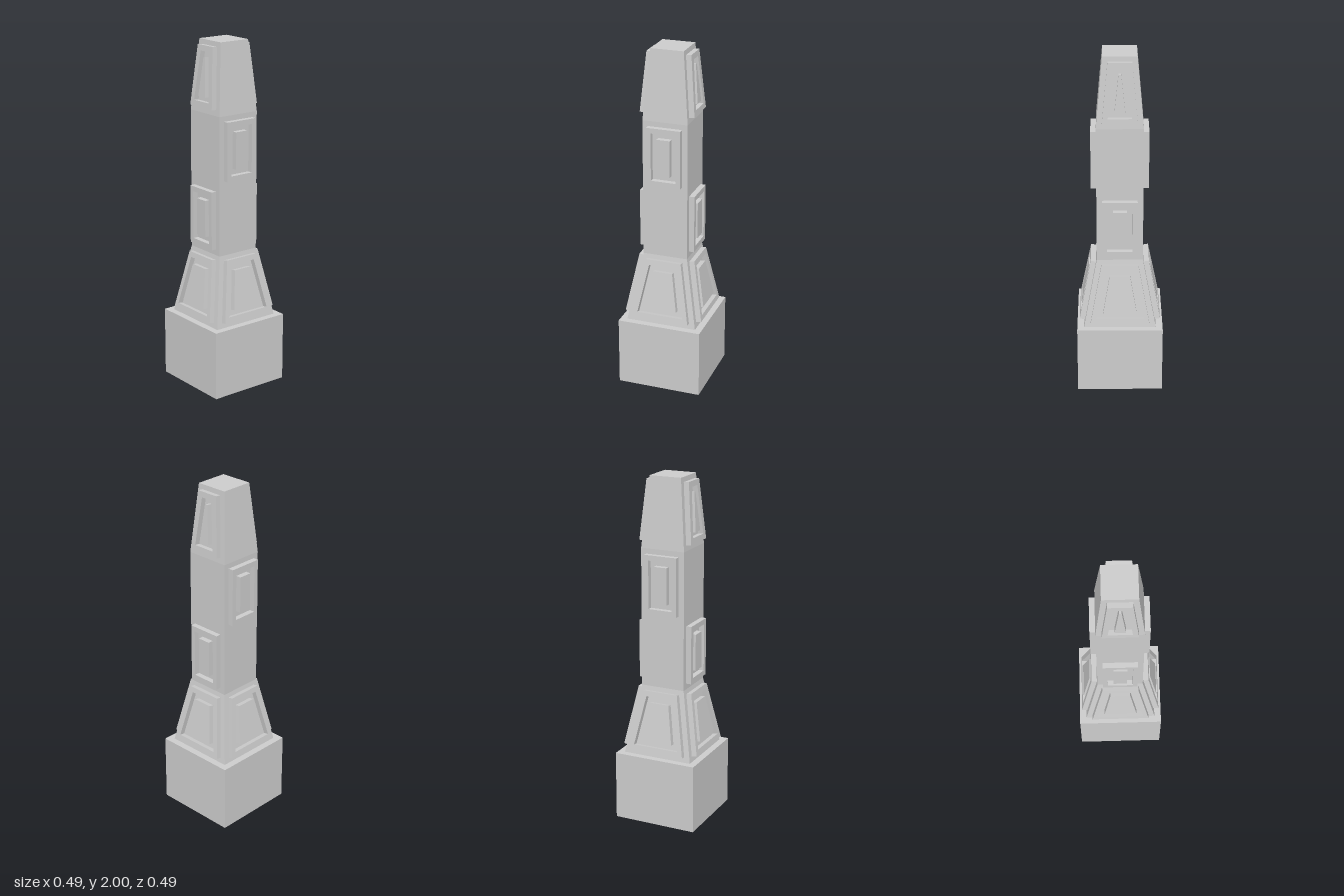
import * as THREE from 'three';

const material = new THREE.MeshStandardMaterial({ color: 0xcccccc, flatShading: true });
const DEPTH = 0.031;

// Shaft sections: bottom and top height with the half width at each
const LOWER = { y0: 0.4, y1: 0.8, r0: 0.207, r1: 0.131 };
const MIDDLE = { y0: 0.8, y1: 1.6, r0: 0.131, r1: 0.131 };
const UPPER = { y0: 1.6, y1: 2.0, r0: 0.131, r1: 0.095 };

// Each outline is [bottom y, top y, bottom half width, top half width]
const PANELS = [
  { name: 'lowerPanel', section: LOWER, sides: [0, 1, 2, 3],
    outer: [0.436, 0.78, 0.169, 0.105], hole: [0.465, 0.75, 0.137, 0.083], plate: [0.497, 0.716, 0.096, 0.058] },
  { name: 'sidePanel', section: MIDDLE, sides: [1, 3],
    outer: [0.835, 1.172, 0.099, 0.099], hole: [0.865, 1.142, 0.072, 0.072], plate: [0.897, 1.11, 0.039, 0.039] },
  { name: 'frontBackPanel', section: MIDDLE, sides: [0, 2],
    outer: [1.233, 1.57, 0.099, 0.099], hole: [1.263, 1.54, 0.072, 0.072], plate: [1.295, 1.508, 0.039, 0.039] },
  { name: 'upperPanel', section: UPPER, sides: [1, 3],
    outer: [1.636, 1.975, 0.098, 0.066], hole: [1.668, 1.943, 0.066, 0.036], plate: [1.694, 1.912, 0.03, 0.007] },
];

function makePanel({ name, section, outer, hole, plate }) {
  const tilt = Math.atan2(section.r0 - section.r1, section.y1 - section.y0);
  // Heights become distances along the sloping wall
  const along = (y) => (y - section.y0 - DEPTH * Math.sin(tilt)) / Math.cos(tilt);
  const corners = ([y0, y1, w0, w1]) => [
    new THREE.Vector2(-w0, along(y0)), new THREE.Vector2(w0, along(y0)),
    new THREE.Vector2(w1, along(y1)), new THREE.Vector2(-w1, along(y1)),
  ];
  const frameShape = new THREE.Shape(corners(outer));
  frameShape.holes.push(new THREE.Path(corners(hole).reverse()));

  const panel = new THREE.Group();
  panel.name = name;
  for (const [part, shape] of [['Frame', frameShape], ['Plate', new THREE.Shape(corners(plate))]]) {
    const geometry = new THREE.ExtrudeGeometry(shape, { depth: DEPTH, bevelEnabled: false });
    const mesh = new THREE.Mesh(geometry, material);
    mesh.name = name + part;
    panel.add(mesh);
  }
  panel.position.set(0, section.y0, section.r0);
  panel.rotation.x = -tilt;
  return panel;
}

export function createModel() {
  const model = new THREE.Group();
  model.name = 'obelisk';

  // Square plinth
  const base = new THREE.Mesh(new THREE.BoxGeometry(0.492, 0.4, 0.492), material);
  base.name = 'base';
  base.position.y = 0.2;
  model.add(base);

  // Four-sided shaft with flared foot and tapered top
  const profile = [[0, 0.4], [0.207, 0.4], [0.131, 0.8], [0.131, 1.6], [0.095, 2], [0, 2]]
    .map(([r, y]) => new THREE.Vector2(r * Math.SQRT2, y));
  const shaft = new THREE.Mesh(new THREE.LatheGeometry(profile, 4, Math.PI / 4), material);
  shaft.name = 'shaft';
  model.add(shaft);

  // Framed panels on the chosen sides: 0 front, 1 left, 2 back, 3 right
  for (const spec of PANELS) {
    for (const side of spec.sides) {
      const mount = new THREE.Group();
      mount.name = spec.name + 'Mount';
      mount.rotation.y = side * Math.PI / 2;
      mount.add(makePanel(spec));
      model.add(mount);
    }
  }
  return model;
}
